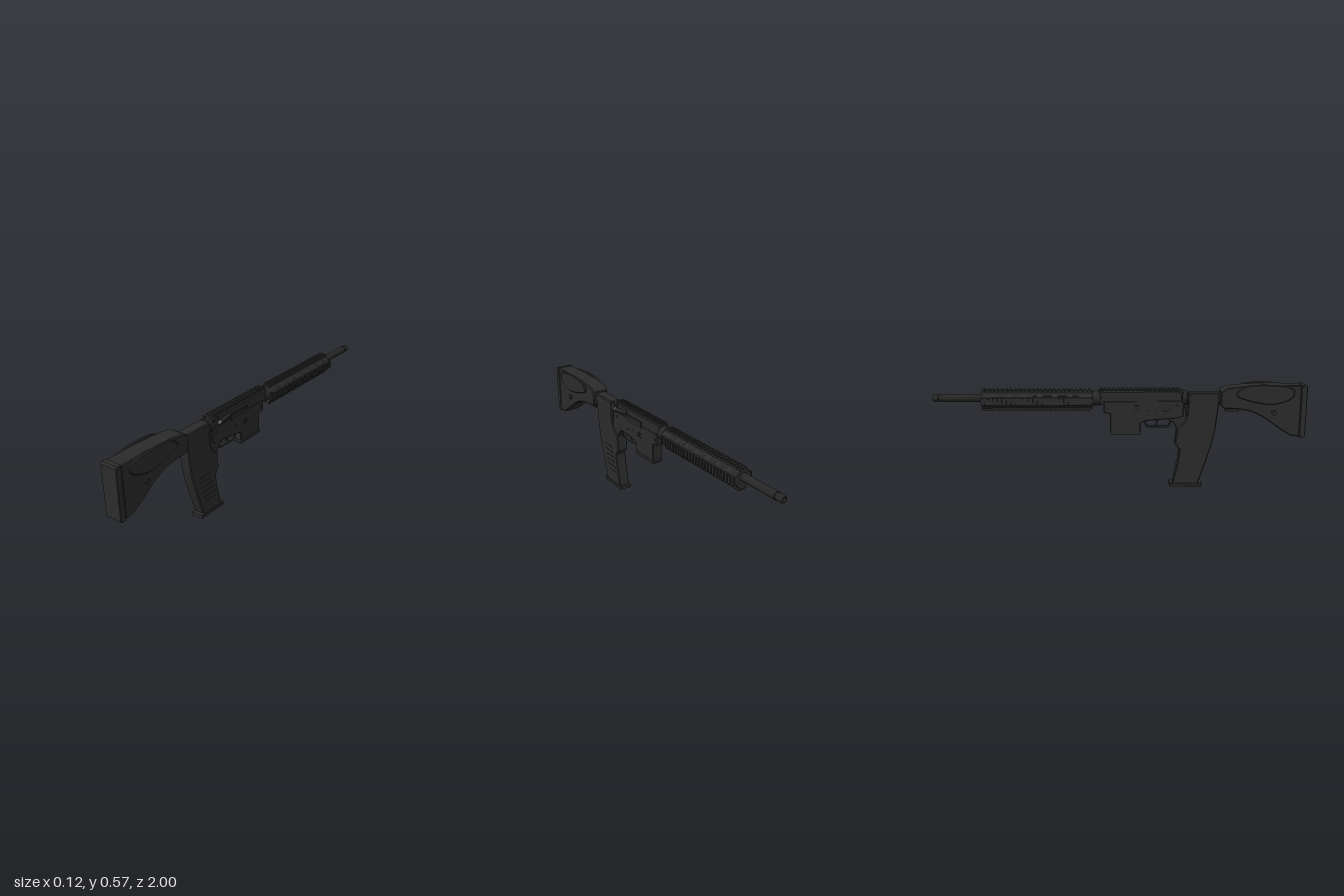
import * as THREE from 'three';

const mat = (name, color) => {
  const m = new THREE.MeshStandardMaterial({ color });
  m.name = name;
  return m;
};

export function createModel() {
  const root = new THREE.Group();
  root.name = 'rifle';
  const body = mat('charcoal', 0x2b2b2b);
  const metal = mat('dark metal', 0x262626);
  const steel = mat('bare steel', 0x808080);

  const add = (name, geo, material, parent = root) => {
    const m = new THREE.Mesh(geo, material);
    m.name = name;
    parent.add(m);
    return m;
  };
  const group = (name) => {
    const g = new THREE.Group();
    g.name = name;
    root.add(g);
    return g;
  };
  // Side outline given as [z, y] points, extruded from x0 to x1
  const profile = (name, pts, x0, x1, bevel = 0.004, material = body, parent = root) => {
    const shape = new THREE.Shape(pts.map(([z, y]) => new THREE.Vector2(-z, y)));
    const geo = new THREE.ExtrudeGeometry(shape, {
      depth: x1 - x0 - 2 * bevel, bevelEnabled: bevel > 0, bevelSize: bevel,
      bevelThickness: bevel, bevelOffset: -bevel, bevelSegments: 1,
    });
    geo.translate(0, 0, x0 + bevel);
    geo.rotateY(Math.PI / 2);
    return add(name, geo, material, parent);
  };
  const smooth = (pts, n = 24) => new THREE.SplineCurve(
    pts.map(([z, y]) => new THREE.Vector2(z, y))).getPoints(n).map((p) => [p.x, p.y]);
  // Box given by ranges
  const box = (name, x0, x1, y0, y1, z0, z1, material = body, parent = root) => {
    const geo = new THREE.BoxGeometry(x1 - x0, y1 - y0, z1 - z0);
    geo.translate((x0 + x1) / 2, (y0 + y1) / 2, (z0 + z1) / 2);
    return add(name, geo, material, parent);
  };
  // Turned part along z, as [z, radius] points running from rear to front
  const turned = (name, pts, y, material = metal, sides = 24) => {
    const geo = new THREE.LatheGeometry(pts.map(([z, r]) => new THREE.Vector2(r, -z)), sides).toNonIndexed();
    geo.computeVertexNormals();
    geo.rotateX(-Math.PI / 2);
    geo.translate(0, y, 0);
    return add(name, geo, material);
  };
  const pin = (name, x, y, z, r, len, material = metal, parent = root) => {
    const geo = new THREE.CylinderGeometry(r, r, len, 16);
    geo.rotateZ(Math.PI / 2);
    geo.translate(x, y, z);
    return add(name, geo, material, parent);
  };

  // Shoulder stock with curved underside
  profile('stock', [
    [0.968, 0.563], [0.8, 0.565], [0.66, 0.56], [0.57, 0.55], [0.54, 0.53], [0.54, 0.455],
    ...smooth([[0.56, 0.44], [0.64, 0.435], [0.71, 0.42], [0.78, 0.385], [0.85, 0.335], [0.92, 0.29]], 16),
    [0.968, 0.285],
  ], -0.047, 0.047, 0.005);
  profile('buttPad', [[1, 0.556], [0.99, 0.565], [0.968, 0.566], [0.968, 0.281], [0.99, 0.281], [1, 0.288]],
    -0.049, 0.049, 0.003);
  box('slingMount', -0.02, 0.02, 0.42, 0.44, 0.57, 0.64, metal);

  // Cheek pads and stock screws on both sides
  const cheek = smooth([[0.93, 0.54], [0.9, 0.557], [0.8, 0.569], [0.69, 0.566], [0.64, 0.545],
    [0.62, 0.515], [0.65, 0.495], [0.72, 0.475], [0.8, 0.463], [0.87, 0.475], [0.92, 0.5], [0.93, 0.54]], 36).slice(0, -1);
  for (const s of [-1, 1]) {
    profile('cheekPad', cheek, s > 0 ? 0.044 : -0.06, s > 0 ? 0.06 : -0.044, 0.004);
    pin('stockScrew', s * 0.05, 0.417, 0.825, 0.013, 0.012);
  }

  // Tube joining stock and receiver
  turned('bufferTube', [[0.56, 0], [0.56, 0.031], [0.35, 0.031], [0.35, 0]], 0.49, body);
  turned('castleRing', [[0.365, 0], [0.365, 0.036], [0.36, 0.04], [0.345, 0.04], [0.335, 0.036], [0.335, 0]], 0.492);

  // Long curved grip with base and ridges
  profile('grip', [
    [0.535, 0.522], [0.37, 0.522], [0.365, 0.4], [0.345, 0.36], [0.31, 0.33], [0.305, 0.29], [0.3, 0.24],
    [0.325, 0.21], [0.32, 0.16], [0.288, 0.01], [0.435, 0.01],
    ...smooth([[0.43, 0.02], [0.478, 0.165], [0.513, 0.3], [0.532, 0.46]], 14),
  ], -0.032, 0.032, 0.005);
  profile('gripTang', [[0.355, 0.45], [0.3, 0.42], [0.255, 0.38], [0.29, 0.36], [0.308, 0.325], [0.31, 0.28], [0.37, 0.28]],
    -0.027, 0.027, 0.004);
  profile('gripBase', [[0.45, 0], [0.45, 0.02], [0.275, 0.02], [0.275, 0]], -0.036, 0.036, 0.003);
  const ridges = group('gripRidges');
  for (let i = 0; i < 6; i++) {
    const y = 0.085 + i * 0.03, z = 0.35 + i * 0.009;
    box('gripRidge', 0.03, 0.0345, y, y + 0.008, z - 0.02, z + 0.06, body, ridges);
  }

  // Receiver halves and front magazine well
  profile('upperReceiver', [[0.335, 0.52], [0.32, 0.532], [-0.11, 0.532], [-0.11, 0.46], [0.335, 0.46]],
    -0.028, 0.028, 0.005);
  profile('lowerReceiver', [
    [0.345, 0.48], [0.345, 0.4], [0.32, 0.385], [0.14, 0.37], [0.112, 0.355], [0.112, 0.305], [-0.05, 0.305],
    [-0.05, 0.408], [-0.085, 0.415], [-0.085, 0.48],
  ], -0.03, 0.03, 0.004);
  box('magazine', -0.025, 0.025, 0.293, 0.31, -0.045, 0.107);
  box('magazineWellRim', -0.032, 0.032, 0.3, 0.315, -0.052, 0.114);

  // Trigger and its guard
  const guard = [[0.285, 0.375], [0.275, 0.338], [0.26, 0.33], [0.155, 0.33], [0.14, 0.338], [0.128, 0.372]];
  const guardInner = [[0.136, 0.372], [0.148, 0.344], [0.158, 0.338], [0.258, 0.338], [0.267, 0.344], [0.277, 0.375]];
  profile('triggerGuard', [...guard, ...guardInner], -0.012, 0.012, 0, metal);
  profile('trigger', [[0.215, 0.385], [0.19, 0.385], [0.198, 0.36], [0.19, 0.342], [0.196, 0.34], [0.207, 0.358]],
    -0.006, 0.006, 0, metal);

  // Receiver controls
  profile('ejectionCover', [[0.2, 0.5], [0.2, 0.465], [0.06, 0.465], [0.06, 0.5]], 0.026, 0.033, 0.002, metal);
  pin('magazineRelease', 0.031, 0.424, 0.08, 0.011, 0.012);
  box('releaseFence', 0.028, 0.034, 0.405, 0.41, 0.06, 0.1, metal);
  box('boltCatch', -0.036, -0.028, 0.415, 0.455, 0.08, 0.105, metal);
  for (const s of [-1, 1]) {
    pin('triggerPin', s * 0.03, 0.412, 0.2, 0.005, 0.004);
    pin('hammerPin', s * 0.03, 0.425, 0.15, 0.005, 0.004);
    pin('takedownPin', s * 0.03, 0.45, 0.31, 0.008, 0.006);
    pin('pivotPin', s * 0.03, 0.44, -0.065, 0.008, 0.006);
  }
  pin('selectorHub', -0.032, 0.43, 0.265, 0.01, 0.008);
  box('selectorLever', -0.038, -0.032, 0.425, 0.435, 0.23, 0.27, metal);
  box('chargingHandle', -0.034, 0.034, 0.515, 0.53, 0.3, 0.34, metal);

  // Angled assist knob
  const knob = group('forwardAssist');
  knob.position.set(0.036, 0.503, 0.25);
  knob.rotation.y = 0.15;
  const rod = new THREE.CylinderGeometry(0.011, 0.011, 0.09, 16).rotateX(Math.PI / 2);
  add('assistHousing', rod, metal, knob);
  const cap = new THREE.CylinderGeometry(0.009, 0.009, 0.018, 16).rotateX(Math.PI / 2).translate(0, 0, 0.048);
  add('assistButton', cap, steel, knob);

  // Octagonal handguard with nut and end collar
  const cy = 0.482;
  turned('barrelNut', [[-0.1, 0], [-0.1, 0.036], [-0.112, 0.04], [-0.145, 0.04], [-0.15, 0.036], [-0.15, 0]], 0.49);
  const oct = (name, z0, z1, r) => {
    const geo = new THREE.CylinderGeometry(r, r, z0 - z1, 8).toNonIndexed();
    geo.computeVertexNormals();
    geo.rotateY(Math.PI / 8);
    geo.rotateX(Math.PI / 2);
    geo.translate(0, cy, (z0 + z1) / 2);
    return add(name, geo, body);
  };
  oct('handguard', -0.145, -0.735, 0.047);

  // Toothed rail strips; angle turns a strip around the handguard axis
  const rail = (name, y, angle, dist, z0, z1) => {
    const g = group(name);
    g.position.y = y;
    g.rotation.z = angle;
    box('railBase', -0.02, 0.02, dist - 0.016, dist - 0.007, z1, z0, body, g);
    const n = Math.round((z0 - z1) / 0.0235);
    const pitch = (z0 - z1) / n;
    for (let i = 0; i < n; i++) {
      const z = z0 - (i + 0.5) * pitch;
      box('railTooth', -0.021, 0.021, dist - 0.008, dist, z - pitch * 0.28, z + pitch * 0.28, body, g);
    }
  };
  rail('receiverRail', cy, 0, 0.062, 0.325, -0.11);
  for (let i = 0; i < 4; i++) rail('handguardRail', cy, i * Math.PI / 2, 0.057, -0.15, -0.735);

  // Cooling slots on the slanted faces
  const slots = group('coolingSlots');
  for (let k = 0; k < 4; k++) {
    const side = new THREE.Group();
    side.name = 'slotRow';
    side.position.y = cy;
    side.rotation.z = Math.PI / 4 + k * Math.PI / 2;
    slots.add(side);
    for (let i = 0; i < 7; i++) {
      const z = -0.2 - i * 0.08;
      box('coolingSlot', -0.007, 0.007, 0.04, 0.0445, z - 0.05, z, metal, side);
    }
  }

  // Barrel with stepped muzzle
  turned('barrel', [
    [-0.7, 0], [-0.7, 0.021], [-0.955, 0.021], [-0.957, 0.017], [-0.965, 0.017], [-0.967, 0.02],
    [-0.992, 0.02], [-1, 0.016], [-1, 0.009], [-0.97, 0.009], [-0.97, 0],
  ], 0.493);

  return root;
}
